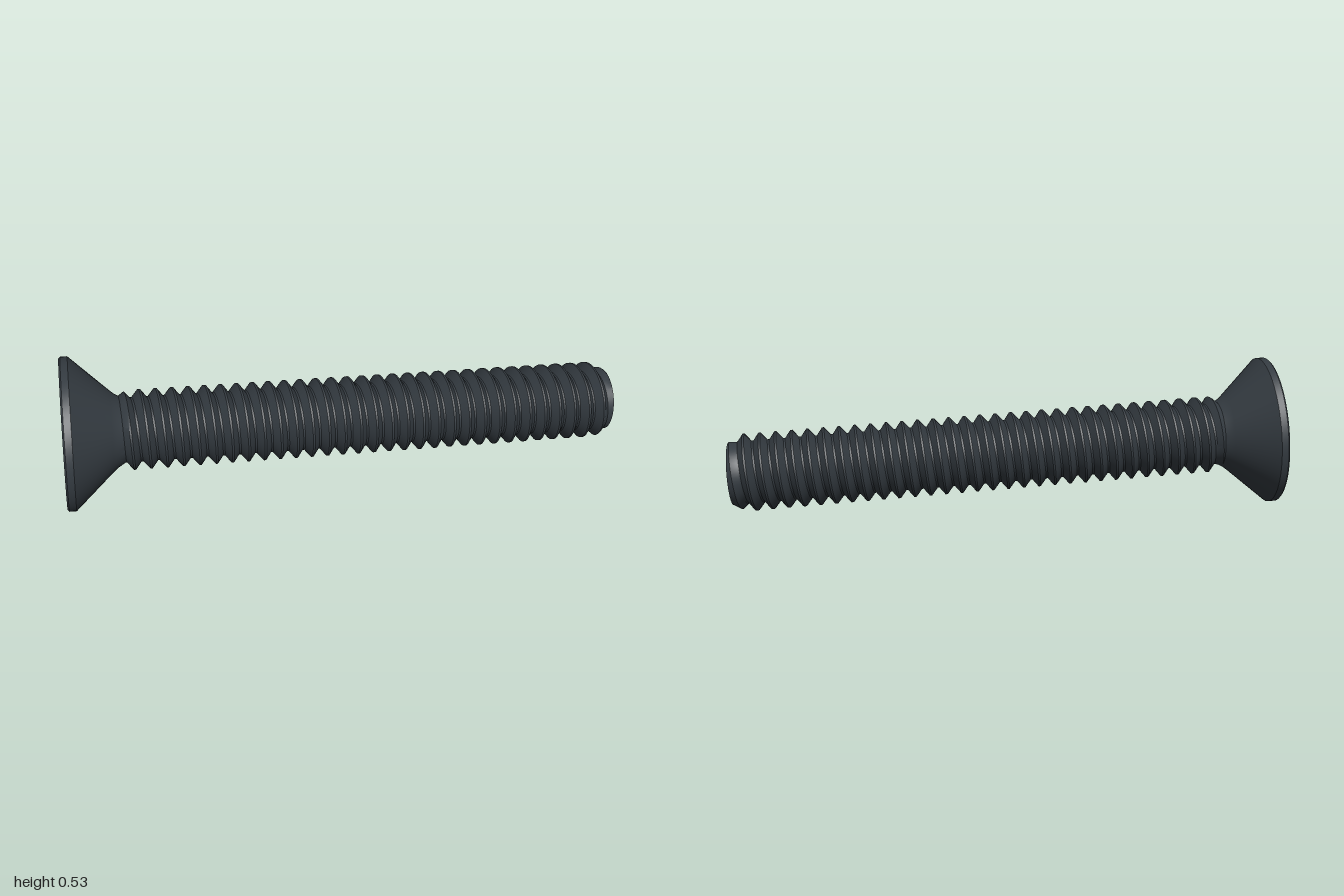
import * as THREE from 'three';
import { toCreasedNormals } from 'three/addons/utils/BufferGeometryUtils.js';

const steel = new THREE.MeshStandardMaterial({ color: 0x343b41 });
steel.name = 'dark steel';

const LENGTH = 1.965, PITCH = 0.0565;
const ROOT = 0.112, CREST = 0.139, HEAD = 0.265;
const THREAD_START = 0.18, CHAMFER = 0.045;

function part(name, geometry, crease = 0.6) {
  const mesh = new THREE.Mesh(toCreasedNormals(geometry, crease), steel);
  mesh.name = name;
  return mesh;
}

// Counter-clockwise outline of a cross with arm half-length l and half-width w
function crossPoints(l, w) {
  const pts = [];
  for (let i = 0; i < 4; i++) {
    const c = [1, 0, -1, 0][i], s = [0, 1, 0, -1][i];
    for (const [x, y] of [[l, -w], [l, w], [w, w]]) {
      pts.push(new THREE.Vector2(x * c - y * s, x * s + y * c));
    }
  }
  return pts;
}

// Helical thread: each lathe row climbs one pitch per turn, clipped at both ends
function threadGeometry() {
  const profile = [];
  const turns = Math.ceil((LENGTH - THREAD_START) / PITCH) + 1;
  for (let i = -1; i <= turns; i++) {
    const y = THREAD_START + i * PITCH;
    for (const [r, t] of [[ROOT, 0], [ROOT, 0.12], [CREST, 0.52], [CREST, 0.64]]) {
      profile.push(new THREE.Vector2(r, y + t * PITCH));
    }
  }
  const geo = new THREE.LatheGeometry(profile, 56);
  const pos = geo.attributes.position, uv = geo.attributes.uv;
  for (let i = 0; i < pos.count; i++) {
    const x = pos.getX(i), z = pos.getZ(i);
    const y = THREE.MathUtils.clamp(pos.getY(i) + uv.getX(i) * PITCH, THREAD_START, LENGTH);
    const r = Math.hypot(x, z);
    // Chamfer towards the tip and fade in at the neck
    const tipLimit = ROOT + (CREST - ROOT) * Math.min(1, (LENGTH - y) / CHAMFER);
    const neckLimit = ROOT + (CREST - ROOT) * Math.min(1, (y - THREAD_START) / 0.04);
    const k = Math.min(r, tipLimit, neckLimit) / r;
    pos.setXYZ(i, x * k, y, z * k);
  }
  return geo;
}

// Tapered walls of the cross recess, facing inwards
function recessWalls(top, bottom, depth) {
  const v = [];
  top.forEach((p0, i) => {
    const j = (i + 1) % top.length;
    const p1 = top[j], q0 = bottom[i], q1 = bottom[j];
    v.push(p0.x, p0.y, 0, p1.x, p1.y, 0, q0.x, q0.y, -depth);
    v.push(p1.x, p1.y, 0, q1.x, q1.y, -depth, q0.x, q0.y, -depth);
  });
  const geo = new THREE.BufferGeometry();
  geo.setAttribute('position', new THREE.Float32BufferAttribute(v, 3));
  geo.computeVertexNormals();
  return geo;
}

export function createModel() {
  const group = new THREE.Group();
  group.name = 'countersunkScrew';
  const screw = new THREE.Group();
  screw.name = 'screw';
  group.add(screw);

  // Countersunk head with rim and neck, built along +y from the drive face
  const headProfile = [
    [HEAD - 0.006, 0], [HEAD, 0.006], [HEAD, 0.03], [0.142, 0.162], [0.128, 0.178], [ROOT, 0.205],
  ].map(([r, y]) => new THREE.Vector2(r, y));
  screw.add(part('head', new THREE.LatheGeometry(headProfile, 72), 0.45));

  // Drive face with the cross opening
  const depth = 0.12;
  const top = crossPoints(0.152, 0.045), bottom = crossPoints(0.08, 0.03);
  const face = new THREE.Shape().absarc(0, 0, HEAD - 0.006, 0, Math.PI * 2);
  face.holes.push(new THREE.Path(top));
  screw.add(part('driveFace', new THREE.ShapeGeometry(face, 36).rotateX(Math.PI / 2)));

  // Cross recess
  screw.add(part('recessWalls', recessWalls(top, bottom, depth).rotateX(Math.PI / 2), 0.1));
  const floor = new THREE.ShapeGeometry(new THREE.Shape(bottom));
  screw.add(part('recessFloor', floor.translate(0, 0, -depth).rotateX(Math.PI / 2)));

  // Threaded shank and flat tip
  screw.add(part('thread', threadGeometry()));
  const tip = new THREE.CircleGeometry(ROOT, 56).rotateX(-Math.PI / 2).translate(0, LENGTH, 0);
  screw.add(part('tip', tip));

  // Lay the screw along its resting direction, with the cross upright
  const axis = new THREE.Vector3(1.918, -0.122, 0.405).normalize();
  const up = new THREE.Vector3(0, 1, 0).addScaledVector(axis, -axis.y).normalize();
  const side = new THREE.Vector3().crossVectors(axis, up);
  screw.quaternion.setFromRotationMatrix(new THREE.Matrix4().makeBasis(side, axis, up));
  screw.position.set(-0.943, 0.267, -0.137);
  return group;
}
